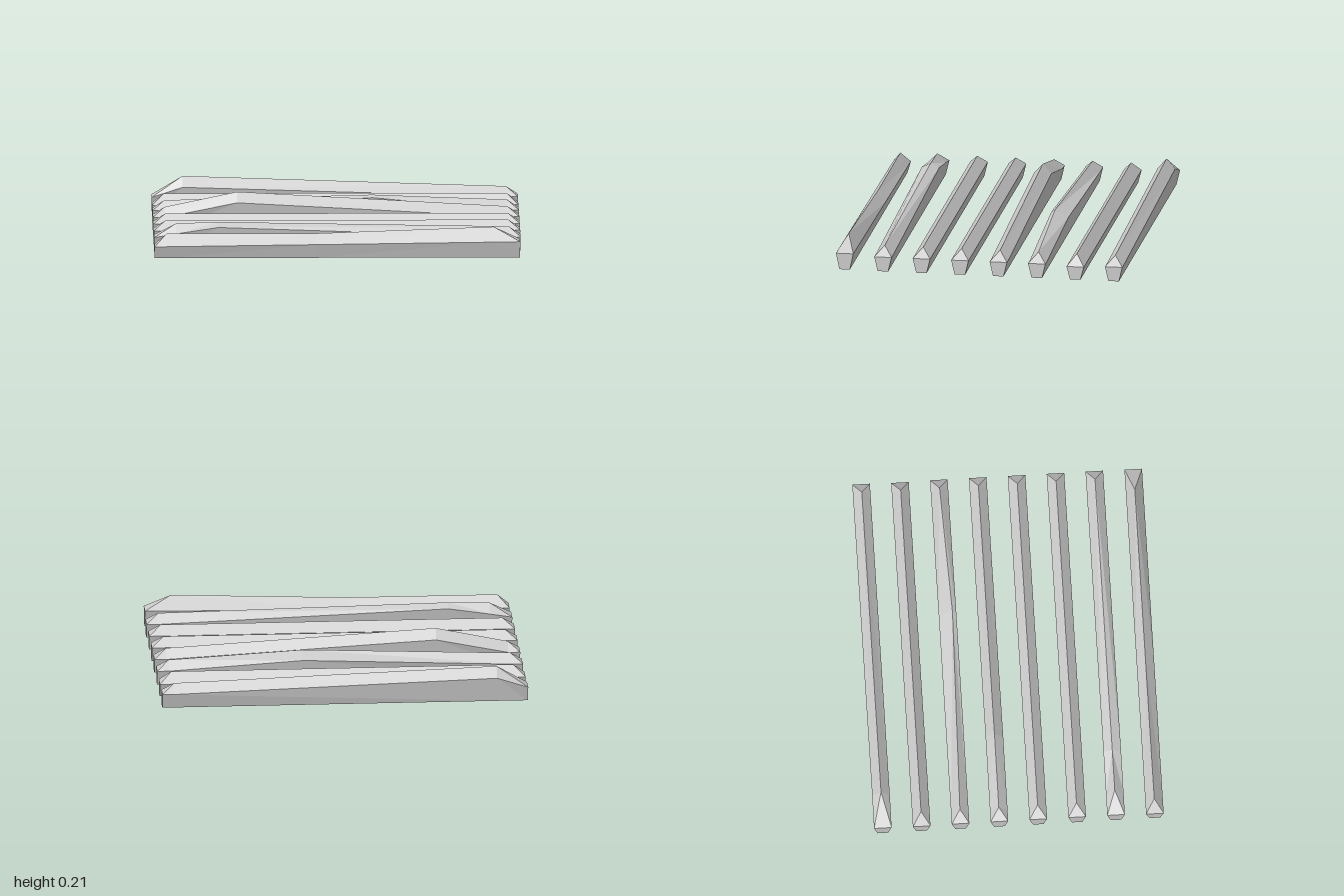
import * as THREE from 'three';

const HALF = 0.048;      // half width at the shoulders
const BASE = 0.029;      // half width at the bottom
const SPACING = 0.2125;  // distance between slats

const material = new THREE.MeshStandardMaterial({ color: 0xcccccc, flatShading: true });

// Pentagon section: bottom front, front shoulder, ridge, back shoulder, bottom back
function section({ x, s, r, back = s, dz = 0 }) {
  return [
    [x, 0, BASE], [x, s, HALF], [x, r, dz], [x, back, -HALF], [x, 0, -BASE],
  ];
}

// Lofts a slat through its sections; roof panels fold from shoulder to ridge
function slatGeometry(stations) {
  const rings = stations.map(section);
  const pos = [];
  const tri = (...pts) => pts.forEach((p) => pos.push(...p));
  for (let k = 0; k < rings.length - 1; k++) {
    const a = rings[k], b = rings[k + 1];
    const last = k === rings.length - 2;
    for (let i = 0; i < 5; i++) {
      const j = (i + 1) % 5;
      if ((i < 2) !== last) {
        tri(a[i], b[i], b[j]);
        tri(a[i], b[j], a[j]);
      } else {
        tri(a[i], b[i], a[j]);
        tri(b[i], b[j], a[j]);
      }
    }
  }
  // End caps
  const l = rings[0], e = rings[rings.length - 1];
  for (let i = 1; i < 4; i++) {
    tri(l[0], l[i], l[i + 1]);
    tri(e[0], e[i + 1], e[i]);
  }
  const g = new THREE.BufferGeometry();
  g.setAttribute('position', new THREE.Float32BufferAttribute(pos, 3));
  g.computeVertexNormals();
  return g;
}

// Hipped ends shared by the slats
const end = (x, s = 0.08) => ({ x, s, r: s });
const hip = (x, s = 0.08, r = 0.13) => ({ x, s, r });
const plain = (s = 0.08) => [end(-1, s), hip(-0.935, s), hip(0.935, s), end(1, s)];
const humped = (...mid) => [end(-1), ...mid, hip(0.935), end(1)];

export function createModel() {
  const group = new THREE.Group();
  group.name = 'slats';

  // Slats from the back to the front
  const slats = [
    // tall left end
    humped(hip(-0.83, 0.135, 0.19)),
    plain(0.072),
    // ridge pushed towards the front in the middle
    humped(hip(-0.935), { x: 0.2, s: 0.15, r: 0.163, back: 0.125, dz: 0.027 }),
    // highest hump
    humped(hip(-0.935), hip(-0.54, 0.16, 0.213)),
    plain(),
    plain(),
    // flattened hump on the left
    humped(hip(-0.88, 0.1, 0.15), hip(-0.65, 0.135, 0.157)),
    // ridge rising to the right
    [end(-1, 0.065), hip(-0.935, 0.066), hip(-0.12, 0.076), hip(0.85, 0.088, 0.165), end(0.995, 0.09)],
  ];

  slats.forEach((stations, i) => {
    const mesh = new THREE.Mesh(slatGeometry(stations), material);
    mesh.name = `slat${i + 1}`;
    mesh.position.z = (i - 3.5) * SPACING;
    group.add(mesh);
  });
  return group;
}
